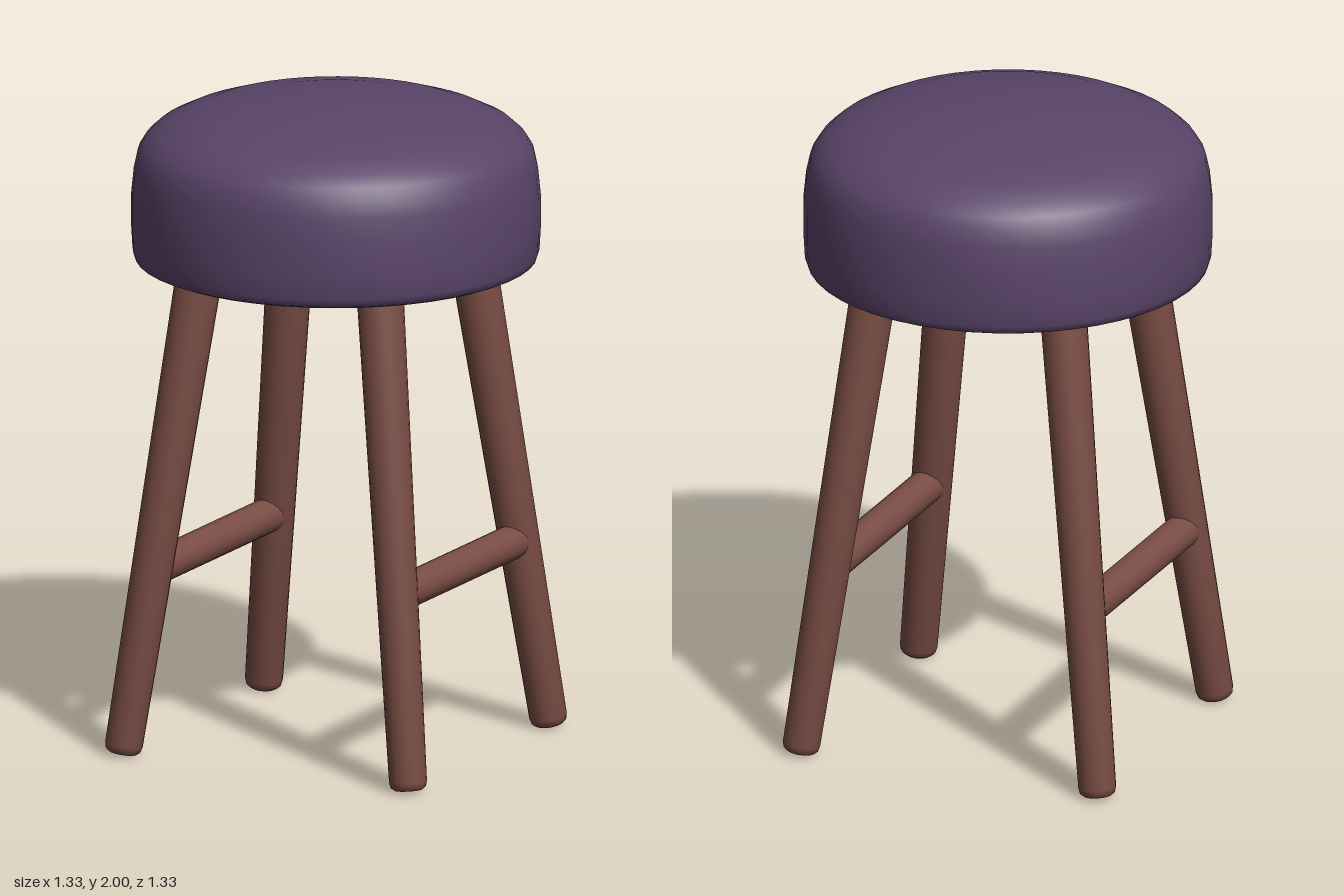
import * as THREE from 'three';
import { toCreasedNormals } from 'three/addons/utils/BufferGeometryUtils.js';

const UP = new THREE.Vector3(0, 1, 0);

// Places a mesh whose axis is +y so that it runs from a towards b.
function aim(mesh, a, b) {
  mesh.position.copy(a);
  mesh.quaternion.setFromUnitVectors(UP, b.clone().sub(a).normalize());
  return mesh;
}

function lathe(points, segments, crease) {
  const profile = points.map(([r, y]) => new THREE.Vector2(r, y));
  return toCreasedNormals(new THREE.LatheGeometry(profile, segments), crease);
}

export function createModel() {
  const model = new THREE.Group();
  model.name = 'stool';
  const fabric = new THREE.MeshStandardMaterial({ color: 0x5a4469 });
  fabric.name = 'purple fabric';
  const wood = new THREE.MeshStandardMaterial({ color: 0x7a4d45 });
  wood.name = 'reddish brown wood';

  // Domed round cushion with a flat underside
  const seat = new THREE.Mesh(lathe([
    [0, 1.5], [0.585, 1.5], [0.604, 1.508], [0.611, 1.53], [0.615, 1.6],
    [0.615, 1.7], [0.607, 1.78], [0.595, 1.835], [0.575, 1.868], [0.54, 1.9],
    [0.48, 1.93], [0.4, 1.957], [0.28, 1.979], [0.14, 1.994], [0, 2],
  ], 48, 0.9), fabric);
  seat.name = 'seatCushion';
  model.add(seat);

  // Splayed, tapered legs with rounded feet: [foot x, foot z, top x, top z]
  const legs = {
    frontLeg: [-0.183, 0.615, -0.122, 0.385],
    leftLeg: [0.615, 0.245, 0.377, 0.165],
    backLeg: [0.183, -0.615, 0.122, -0.385],
    rightLeg: [-0.615, -0.245, -0.377, -0.165],
  };
  const ends = {};
  for (const [name, [fx, fz, tx, tz]] of Object.entries(legs)) {
    const foot = new THREE.Vector3(fx, 0.008, fz);
    const top = new THREE.Vector3(tx, 1.53, tz);
    const length = foot.distanceTo(top);
    const geometry = lathe([
      [0, 0], [0.042, 0], [0.053, 0.009], [0.057, 0.026], [0.071, length], [0, length],
    ], 20, 0.8);
    model.add(aim(new THREE.Mesh(geometry, wood), foot, top));
    model.children.at(-1).name = name;
    ends[name] = [foot, top];
  }

  // One rail between each neighbouring pair of legs
  const pointOnLeg = (name, y) => {
    const [foot, top] = ends[name];
    return foot.clone().lerp(top, (y - foot.y) / (top.y - foot.y));
  };
  for (const [name, from, to, y] of [
    ['frontRail', 'frontLeg', 'leftLeg', 0.59],
    ['backRail', 'backLeg', 'rightLeg', 0.57],
  ]) {
    const a = pointOnLeg(from, y), b = pointOnLeg(to, y);
    const length = a.distanceTo(b);
    const geometry = new THREE.CylinderGeometry(0.053, 0.053, length, 18);
    geometry.translate(0, length / 2, 0);
    const rail = aim(new THREE.Mesh(geometry, wood), a, b);
    rail.name = name;
    model.add(rail);
  }
  return model;
}
